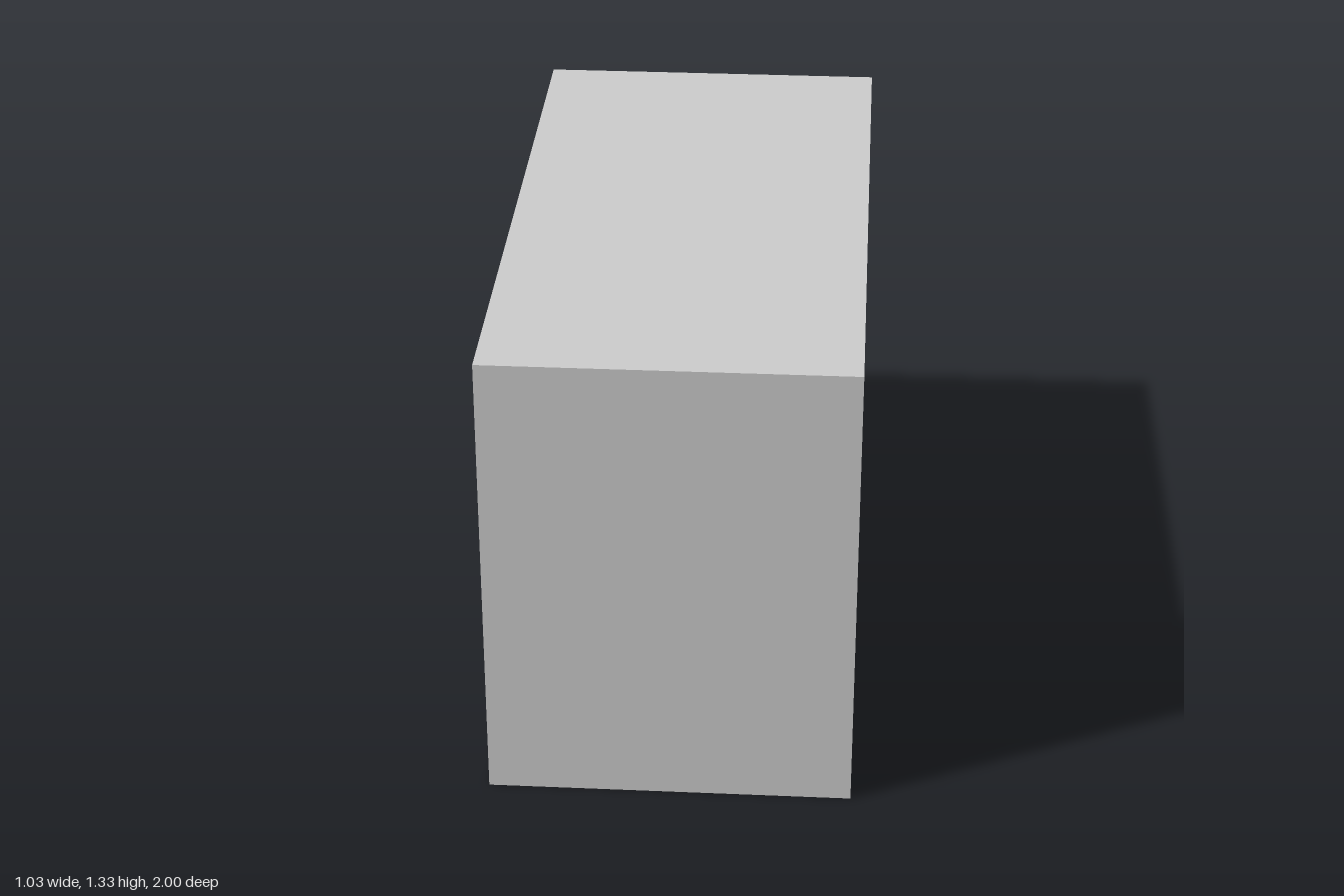
import * as THREE from 'three';

const H = 1.333, T = 0.02;          // cabinet height, board thickness
const LEFT = 0.511, RIGHT = -0.5;   // outer faces in x
const DOOR_X = -0.488;              // plane of the recessed doors
const KNOB_X = -0.515;              // outer face of the knobs
const material = new THREE.MeshStandardMaterial({ color: 0xcccccc });

// Box given by its limits on each axis
function board(name, [x0, x1], [y0, y1], [z0, z1]) {
  const mesh = new THREE.Mesh(new THREE.BoxGeometry(x1 - x0, y1 - y0, z1 - z0), material);
  mesh.position.set((x0 + x1) / 2, (y0 + y1) / 2, (z0 + z1) / 2);
  mesh.name = name;
  return mesh;
}

function rectangle(path, u0, u1, v0, v1) {
  path.moveTo(u0, v0);
  path.lineTo(u1, v0);
  path.lineTo(u1, v1);
  path.lineTo(u0, v1);
  path.closePath();
  return path;
}

export function createModel() {
  const model = new THREE.Group();
  model.name = 'cabinet';

  // Boards: top and bottom run past the back, the front board closes one end
  model.add(
    board('bottomBoard', [RIGHT, LEFT], [0, T], [-1, 1]),
    board('topBoard', [RIGHT, LEFT], [H - T, H], [-1, 1]),
    board('frontBoard', [RIGHT, LEFT], [T, H - T], [1 - T, 1]),
    board('body', [DOOR_X, LEFT - 0.015], [T, H - T], [-1 + T, 1 - T])
  );

  // Four doors, each with its own margin inside a half-unit bay
  const doors = [
    { z: -0.75, margin: 0.065, knob: 0.064 },
    { z: -0.25, margin: 0.0575, knob: 0.0625 },
    { z: 0.25, margin: 0.05, knob: 0.0535 },
    { z: 0.75, margin: 0.04, knob: 0.043 },
  ];

  // Face frame with an opening for every door
  const frameShape = rectangle(new THREE.Shape(), -1 + T, 1 - T, T, H - T);
  for (const { z, margin } of doors) {
    const half = 0.25 - margin;
    frameShape.holes.push(rectangle(new THREE.Path(), z - half, z + half, margin, H - margin));
  }
  const frameGeometry = new THREE.ExtrudeGeometry(frameShape, {
    depth: DOOR_X - RIGHT, bevelEnabled: false,
  });
  frameGeometry.rotateY(-Math.PI / 2);
  const frame = new THREE.Mesh(frameGeometry, material);
  frame.position.x = DOOR_X;
  frame.name = 'doorFrame';
  model.add(frame);

  // Round knobs
  doors.forEach(({ z, knob }, i) => {
    const geometry = new THREE.CylinderGeometry(knob, knob, DOOR_X - KNOB_X, 32);
    geometry.rotateZ(Math.PI / 2);
    const mesh = new THREE.Mesh(geometry, material);
    mesh.position.set((DOOR_X + KNOB_X) / 2, H / 2, z);
    mesh.name = `knob${i + 1}`;
    model.add(mesh);
  });

  return model;
}
